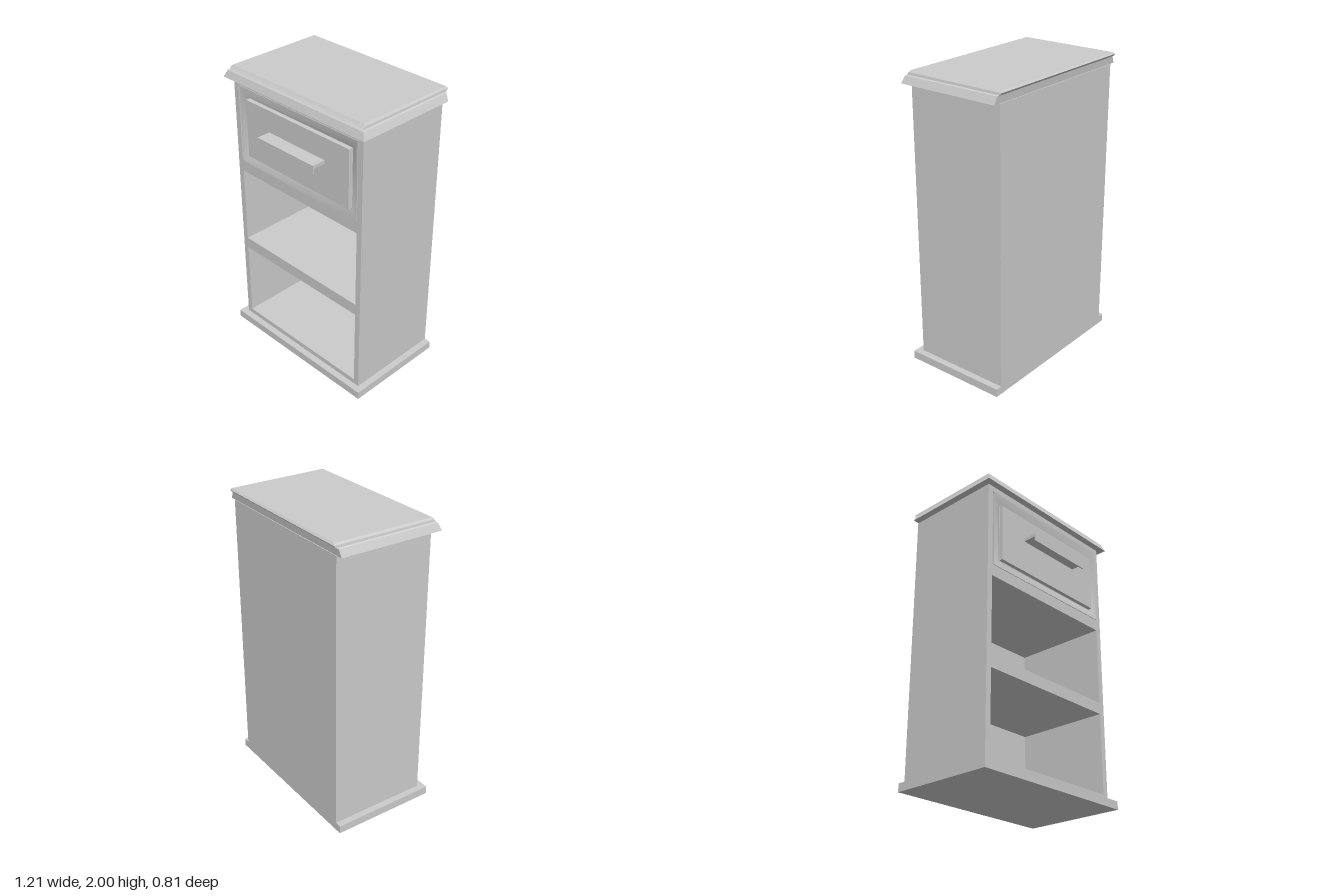
import * as THREE from 'three';
import { toCreasedNormals } from 'three/addons/utils/BufferGeometryUtils.js';

const material = new THREE.MeshStandardMaterial({ color: 0xcccccc });

function addMesh(parent, name, geometry) {
  const mesh = new THREE.Mesh(geometry, material);
  mesh.name = name;
  parent.add(mesh);
  return mesh;
}

// Box given by its limits on each axis
function box(x0, x1, y0, y1, z0, z1) {
  return new THREE.BoxGeometry(x1 - x0, y1 - y0, z1 - z0)
    .translate((x0 + x1) / 2, (y0 + y1) / 2, (z0 + z1) / 2);
}

// Closed solid through rectangles [x0, x1, y0, y1, z] stacked towards +z
function loftRectangles(levels, crease) {
  const loops = levels.map(([x0, x1, y0, y1, z]) =>
    [[x0, y0, z], [x1, y0, z], [x1, y1, z], [x0, y1, z]]);
  const positions = [];
  const quad = (a, b, c, d) => positions.push(...a, ...b, ...c, ...a, ...c, ...d);
  for (let i = 0; i < loops.length - 1; i++) {
    for (let k = 0; k < 4; k++) {
      const n = (k + 1) % 4;
      quad(loops[i][k], loops[i][n], loops[i + 1][n], loops[i + 1][k]);
    }
  }
  quad(...[...loops[0]].reverse());
  quad(...loops[loops.length - 1]);
  const geometry = new THREE.BufferGeometry();
  geometry.setAttribute('position', new THREE.Float32BufferAttribute(positions, 3));
  geometry.computeVertexNormals();
  return toCreasedNormals(geometry, crease);
}

function rectanglePath(path, x0, x1, y0, y1) {
  path.moveTo(x0, y0);
  path.lineTo(x1, y0);
  path.lineTo(x1, y1);
  path.lineTo(x0, y1);
  path.closePath();
  return path;
}

export function createModel() {
  const cabinet = new THREE.Group();
  cabinet.name = 'cabinet';

  // Base plate, flush with the back
  addMesh(cabinet, 'base', box(-0.605, 0.605, 0, 0.055, -0.38, 0.345));

  // Carcass with two open shelves and a drawer bay
  const front = rectanglePath(new THREE.Shape(), -0.56, 0.56, 0.055, 1.92);
  for (const [y0, y1] of [[0.09, 0.64], [0.72, 1.26], [1.34, 1.88]]) {
    front.holes.push(rectanglePath(new THREE.Path(), -0.52, 0.52, y0, y1));
  }
  const carcass = new THREE.ExtrudeGeometry(front, { depth: 0.67, bevelEnabled: false });
  addMesh(cabinet, 'carcass', carcass.translate(0, 0, -0.37));
  addMesh(cabinet, 'backPanel', box(-0.56, 0.56, 0.055, 1.92, -0.38, -0.37));

  // Moulded top: [height, half width, front z, back z]
  const cornice = [
    [1.92, 0.605, 0.345, -0.375],
    [1.967, 0.583, 0.328, -0.38],
    [1.973, 0.575, 0.32, -0.39],
    [1.988, 0.572, 0.308, -0.405],
    [2.0, 0.562, 0.3, -0.395],
  ].map(([y, w, zFront, zBack]) => [-w, w, -zFront, -zBack, y]);
  addMesh(cabinet, 'top', loftRectangles(cornice, 0.4).rotateX(-Math.PI / 2));

  // Drawer front: sloping border, groove and raised panel
  const drawer = new THREE.Group();
  drawer.name = 'drawer';
  cabinet.add(drawer);
  addMesh(drawer, 'drawerFront', loftRectangles([
    [-0.508, 0.52, 1.34, 1.88, 0.0],
    [-0.508, 0.52, 1.34, 1.88, 0.304],
    [-0.495, 0.507, 1.353, 1.867, 0.302],
    [-0.465, 0.483, 1.382, 1.828, 0.29],
    [-0.445, 0.463, 1.4, 1.808, 0.283],
    [-0.44, 0.46, 1.405, 1.805, 0.285],
    [-0.44, 0.46, 1.405, 1.805, 0.31],
  ], 0.6));

  // Handle: a flat grip with a thin lip turned down
  addMesh(drawer, 'handleGrip', box(-0.23, 0.26, 1.632, 1.655, 0.305, 0.405));
  addMesh(drawer, 'handleLip', box(-0.23, 0.26, 1.6, 1.632, 0.397, 0.405));

  return cabinet;
}
